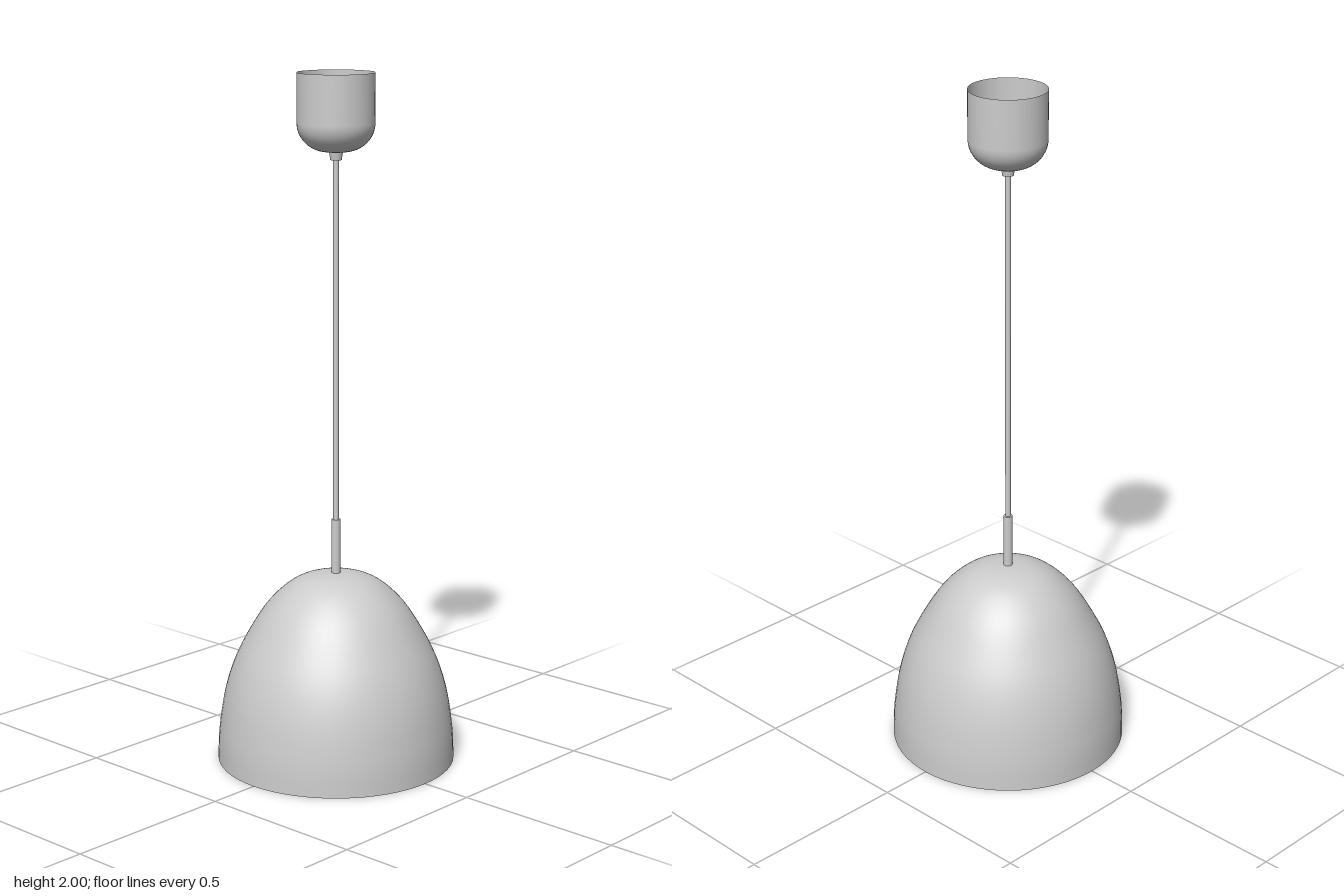
import * as THREE from 'three';

const grey = new THREE.MeshStandardMaterial({ color: 0xcccccc, side: THREE.DoubleSide });
grey.name = 'light grey';

const toPoints = (list) => list.map(([r, y]) => new THREE.Vector2(r, y));

export function createModel() {
  const model = new THREE.Group();
  model.name = 'pendantLamp';

  const add = (parent, name, geometry, y = 0) => {
    const mesh = new THREE.Mesh(geometry, grey);
    mesh.name = name;
    mesh.position.y = y;
    parent.add(mesh);
  };
  const lathe = (points, segments = 64) => new THREE.LatheGeometry(points, segments);
  const rod = (parent, name, r, y0, y1, rTop = r) =>
    add(parent, name, new THREE.CylinderGeometry(rTop, r, y1 - y0, 24), (y0 + y1) / 2);

  // Bell shade: outer skin, inner skin and flat rim
  const wall = 0.015;
  const profile = [
    [0.347, 0], [0.343, 0.09], [0.326, 0.2], [0.297, 0.295], [0.255, 0.38],
    [0.2, 0.465], [0.135, 0.526], [0.07, 0.554], [0, 0.561],
  ];
  const outer = new THREE.SplineCurve(toPoints(profile)).getPoints(40);
  outer[outer.length - 1].x = 0;
  const inner = outer
    .map((p) => new THREE.Vector2(p.x * (1 - wall / 0.347), p.y * (1 - wall / 0.561)))
    .reverse();
  const shade = new THREE.Group();
  shade.name = 'shade';
  model.add(shade);
  add(shade, 'shadeOutside', lathe(outer));
  add(shade, 'shadeInside', lathe(inner));
  add(shade, 'shadeRim', lathe(toPoints([[0.347 - wall, 0], [0.347, 0]])));

  // Bulb with tapering neck, held in a socket under the shade top
  const bulb = [];
  for (let i = 0; i <= 20; i++) {
    const a = (i / 20) * Math.PI * 0.75;
    bulb.push(new THREE.Vector2(0.09 * Math.sin(a), 0.25 - 0.09 * Math.cos(a)));
  }
  bulb.push(...toPoints([[0.047, 0.335], [0.04, 0.37], [0.038, 0.41]]));
  add(model, 'bulb', lathe(bulb, 40));
  rod(model, 'socket', 0.045, 0.4, 0.55);

  // Sleeve, cord and cord grip
  rod(model, 'cordSleeve', 0.013, 0.55, 0.72);
  rod(model, 'cord', 0.008, 0.72, 1.77);
  rod(model, 'cordGrip', 0.016, 1.757, 1.783, 0.02);

  // Ceiling cup, open at the top with a rounded bottom
  const cup = toPoints([[0, 1.78], [0.025, 1.78]]);
  for (let i = 1; i <= 16; i++) {
    const a = (i / 16) * Math.PI / 2;
    cup.push(new THREE.Vector2(0.025 + 0.085 * Math.sin(a), 1.86 - 0.08 * Math.cos(a)));
  }
  cup.push(new THREE.Vector2(0.11, 2));
  add(model, 'ceilingCup', lathe(cup, 48));

  return model;
}
